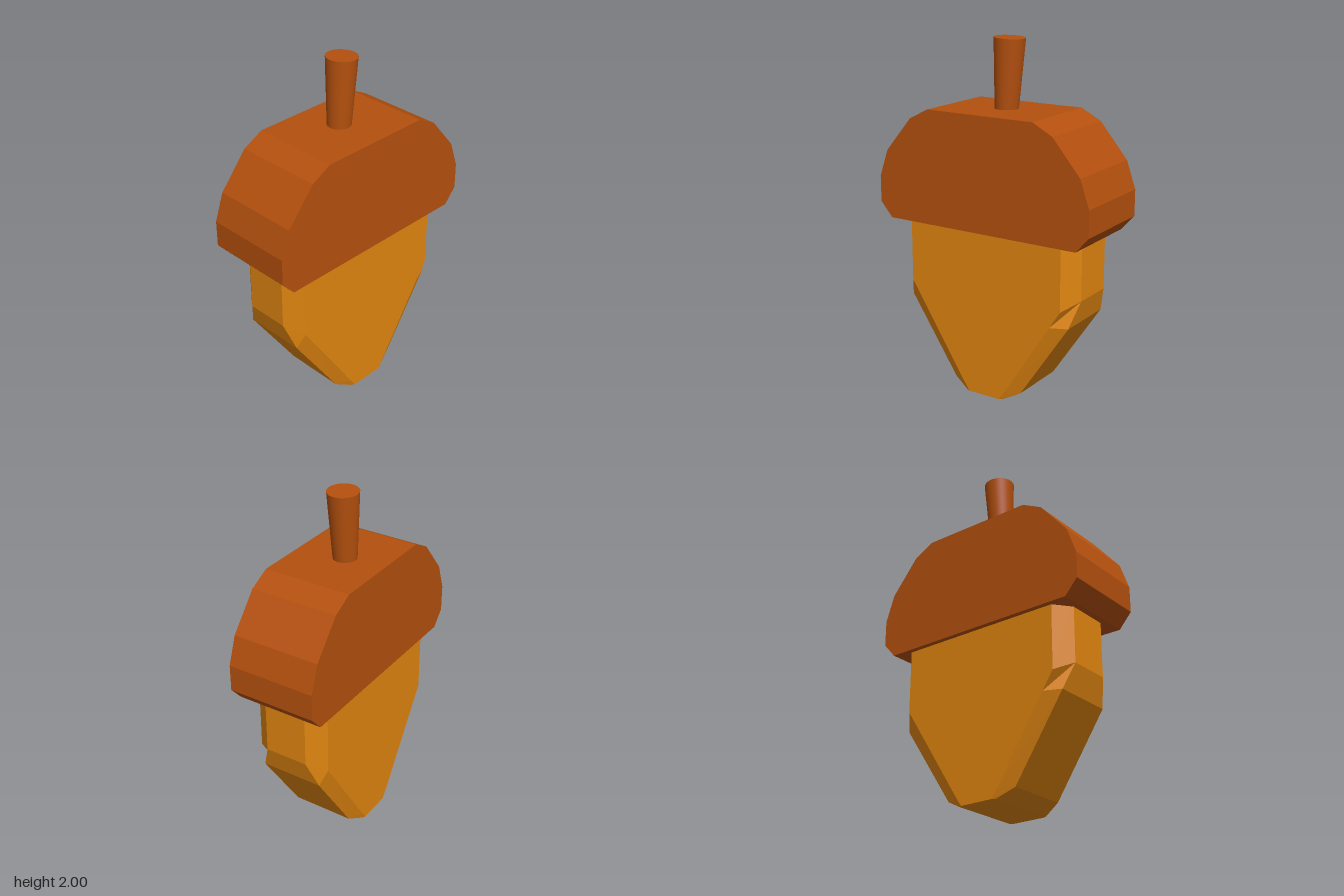
import * as THREE from 'three';

const nutMaterial = new THREE.MeshStandardMaterial({ color: 0xe08510, flatShading: true });
const capMaterial = new THREE.MeshStandardMaterial({ color: 0xb4500e, flatShading: true });
const stemMaterial = new THREE.MeshStandardMaterial({ color: 0xb4500e });

// Eight-sided ring: the narrow end faces use (a, yo, zo), the wide side faces use (yi, zi)
const HALF_WIDTH = 0.22;
function ring([a, yo, zo, yi, zi]) {
  const w = HALF_WIDTH;
  return [
    [-a, yo, zo], [a, yo, zo], [w, yi, zi], [w, yi, -zi],
    [a, yo, -zo], [-a, yo, -zo], [-w, yi, -zi], [-w, yi, zi],
  ];
}

function loft(rings) {
  const pos = [];
  const tri = (...corners) => corners.forEach((c) => pos.push(...c));
  for (let k = 0; k + 1 < rings.length; k++) {
    const lo = rings[k], hi = rings[k + 1];
    for (let i = 0; i < 8; i++) {
      const j = (i + 1) % 8;
      tri(lo[i], lo[j], hi[j]);
      tri(lo[i], hi[j], hi[i]);
    }
  }
  const bottom = rings[0], top = rings[rings.length - 1];
  for (let i = 1; i < 7; i++) {
    tri(bottom[0], bottom[i + 1], bottom[i]);
    tri(top[0], top[i], top[i + 1]);
  }
  const g = new THREE.BufferGeometry();
  g.setAttribute('position', new THREE.Float32BufferAttribute(pos, 3));
  g.computeVertexNormals();
  return g;
}

export function createModel() {
  const model = new THREE.Group();
  model.name = 'acorn';

  // Nut: flat sides with chamfered corners, tapering to a blunt tip
  const nut = new THREE.Mesh(loft([
    [0.21, 0, 0.12, 0, 0.1],
    [0.18, 0.05, 0.22, 0.05, 0.135],
    [0.18, 0.5, 0.52, 0.5, 0.425],
    [0.125, 0.65, 0.565, 0.6, 0.49],
    [0.125, 1.0, 0.565, 1.0, 0.49],
  ].map(ring)), nutMaterial);
  nut.name = 'nut';
  nut.position.x = -0.005;
  model.add(nut);

  // Cap: faceted dome outline extruded across the width
  const half = [[0.6, 0.965], [0.675, 1.05], [0.675, 1.2], [0.62, 1.355], [0.455, 1.55], [0.335, 1.612]];
  const outline = [...half, ...half.map(([z, y]) => [-z, y]).reverse()];
  const shape = new THREE.Shape(outline.map(([z, y]) => new THREE.Vector2(z, y)));
  const depth = 0.51;
  const capGeometry = new THREE.ExtrudeGeometry(shape, { depth, bevelEnabled: false });
  capGeometry.translate(0, 0, -depth / 2).rotateY(-Math.PI / 2);
  const cap = new THREE.Mesh(capGeometry, capMaterial);
  cap.name = 'cap';
  model.add(cap);

  // Stem: flared, leaning slightly backward
  const stemGeometry = new THREE.CylinderGeometry(0.087, 0.064, 0.43, 32);
  stemGeometry.translate(0, 0.215, 0);
  const stem = new THREE.Mesh(stemGeometry, stemMaterial);
  stem.name = 'stem';
  stem.position.set(-0.017, 1.567, 0);
  stem.rotation.x = -0.05;
  model.add(stem);

  return model;
}
